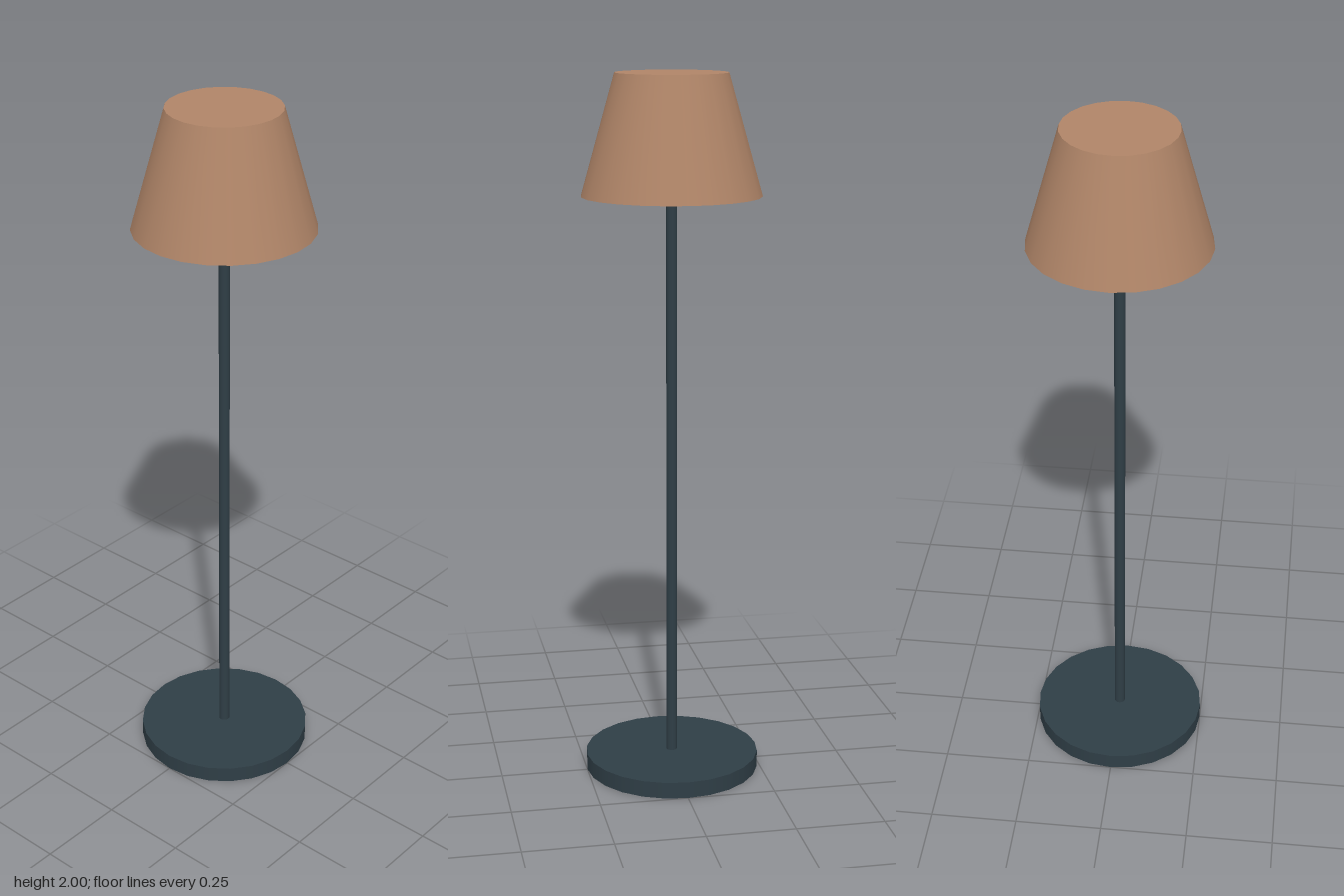
import * as THREE from 'three';

const SIDES = 24;

export function createModel() {
  const lamp = new THREE.Group();
  lamp.name = 'tableLamp';
  const metal = new THREE.MeshStandardMaterial({ color: 0x2f3e46 });
  const fabric = new THREE.MeshStandardMaterial({ color: 0xb08568 });

  // Upright round part between two heights
  function addRound(name, topRadius, bottomRadius, y0, y1, sides, material) {
    const geometry = new THREE.CylinderGeometry(topRadius, bottomRadius, y1 - y0, sides);
    const mesh = new THREE.Mesh(geometry, material);
    mesh.name = name;
    mesh.position.y = (y0 + y1) / 2;
    lamp.add(mesh);
  }

  addRound('base', 0.25, 0.25, 0, 0.047, SIDES, metal);
  // The pole runs a little way into the closed shade
  addRound('pole', 0.0155, 0.0155, 0.03, 1.68, 12, metal);
  addRound('shade', 0.156, 0.25, 1.667, 2, SIDES, fabric);

  return lamp;
}
